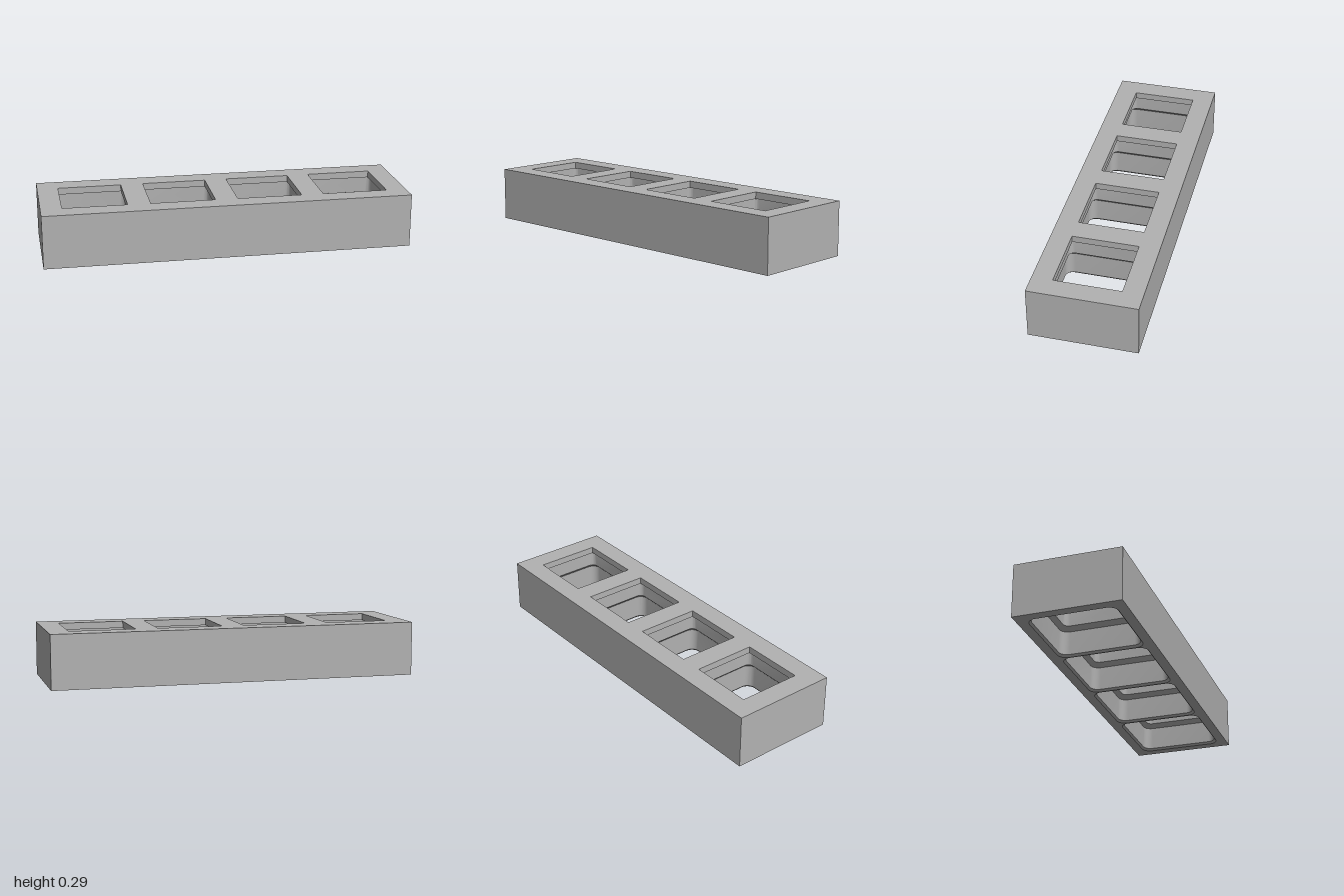
import * as THREE from 'three';
import { toCreasedNormals } from 'three/addons/utils/BufferGeometryUtils.js';

const W = 2, D = 0.577, H = 0.293;
// Four sockets, each opening slightly larger than the one before
const sockets = [
  { x: -0.712, size: 0.348 },
  { x: -0.239, size: 0.351 },
  { x: 0.235, size: 0.354 },
  { x: 0.711, size: 0.357 },
];

// Rounded rectangle outline as [x, z] points
function outline(w, d, r, cx = 0) {
  const pts = [], steps = 8;
  const corners = [[1, 1], [-1, 1], [-1, -1], [1, -1]];
  corners.forEach(([sx, sz], k) => {
    for (let i = 0; i <= steps; i++) {
      const a = (k + i / steps) * Math.PI / 2;
      pts.push([cx + sx * (w / 2 - r) + r * Math.cos(a), sz * (d / 2 - r) + r * Math.sin(a)]);
    }
  });
  return pts;
}

// Joins stacked outlines; rising levels face inward, falling levels face outward
function loft(levels) {
  const pos = [], index = [];
  const n = levels[0].pts.length;
  for (const { y, pts } of levels) for (const [x, z] of pts) pos.push(x, y, z);
  for (let l = 0; l < levels.length - 1; l++) {
    for (let i = 0; i < n; i++) {
      const j = (i + 1) % n, a = l * n, b = a + n;
      index.push(a + i, a + j, b + j, a + i, b + j, b + i);
    }
  }
  const geo = new THREE.BufferGeometry();
  geo.setAttribute('position', new THREE.Float32BufferAttribute(pos, 3));
  geo.setIndex(index);
  return toCreasedNormals(geo, 0.5);
}

// Flat rectangle pierced by the given outlines
function piercedFace(holes, y, up) {
  const toVec = ([x, z]) => new THREE.Vector2(x, z);
  const shape = new THREE.Shape([[-1, -1], [1, -1], [1, 1], [-1, 1]].map(([x, z]) => new THREE.Vector2(x * W / 2, z * D / 2)));
  holes.forEach(h => shape.holes.push(new THREE.Path(h.map(toVec))));
  return new THREE.ShapeGeometry(shape).rotateX(up ? -Math.PI / 2 : Math.PI / 2).translate(0, y, 0);
}

export function createModel() {
  const group = new THREE.Group();
  const grey = new THREE.MeshStandardMaterial({ color: 0xb2b2b2 });
  grey.name = 'grey';
  const add = (name, geo) => {
    const mesh = new THREE.Mesh(geo, grey);
    mesh.name = name;
    group.add(mesh);
  };

  // Outer block
  const rim = outline(W, D, 0);
  add('outerWalls', loft([{ y: H, pts: rim }, { y: 0, pts: rim }]));
  const square = ({ x, size }) => [[-1, -1], [1, -1], [1, 1], [-1, 1]].map(([sx, sz]) => [x + sx * size / 2, sz * size / 2]);
  add('topFace', piercedFace(sockets.map(square), H, true));
  add('bottomFace', piercedFace(sockets.map(s => outline(0.468, 0.468, 0.05, s.x)), 0, false));

  // Stepped cavities: bevelled rim, wide well, chamfer, narrow well, ledge, square opening
  for (const { x, size } of sockets) {
    const steps = [
      [0, 0.468, 0.05],
      [0.012, 0.448, 0.045],
      [0.142, 0.444, 0.045],
      [0.165, 0.398, 0.03],
      [0.256, 0.396, 0.025],
      [0.256, size, 0],
      [H, size, 0],
    ];
    add('socketCavity', loft(steps.map(([y, w, r]) => ({ y, pts: outline(w, w, r, x) }))));
  }
  return group;
}
